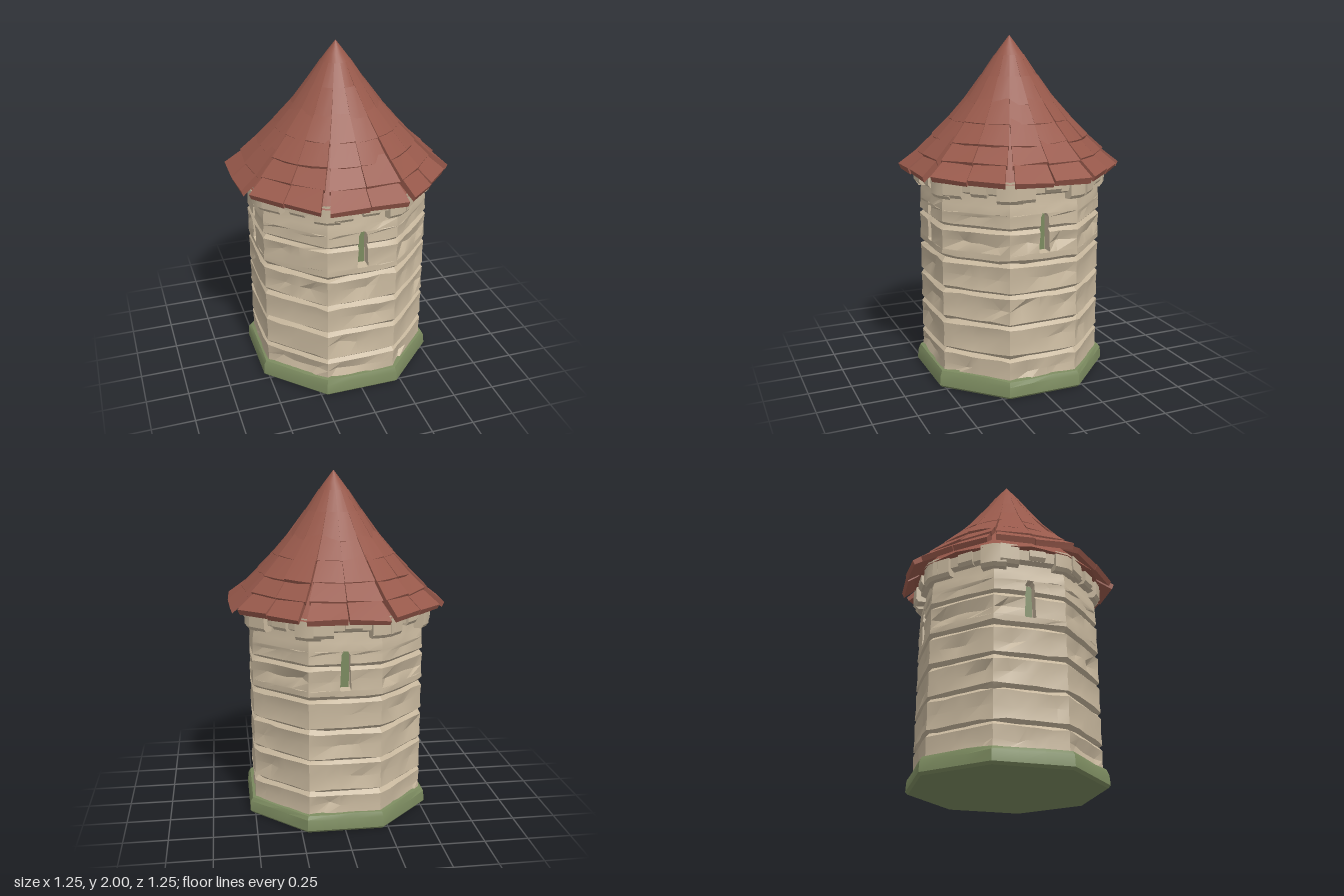
import * as THREE from 'three';
import { toCreasedNormals } from 'three/addons/utils/BufferGeometryUtils.js';

const stone = new THREE.MeshStandardMaterial({ color: 0xc8b89e });
stone.name = 'stone';
const moss = new THREE.MeshStandardMaterial({ color: 0x7b8a5f });
moss.name = 'moss';
const tile = new THREE.MeshStandardMaterial({ color: 0x98594b });
tile.name = 'roofTile';

let seed = 7;
const rand = () => (seed = (seed * 16807) % 2147483647) / 2147483647;
const jit = (a) => (rand() - 0.5) * 2 * a;
const DEG = Math.PI / 180;
const T8 = Math.tan(Math.PI / 8);

function mesh(name, geo, mat) {
  const m = new THREE.Mesh(geo, mat);
  m.name = name;
  return m;
}

// Collects quads (counter-clockwise from outside) and creases the normals
class Quads {
  constructor() { this.p = []; }
  tri(a, b, c) {
    const n = new THREE.Vector3().subVectors(b, a).cross(new THREE.Vector3().subVectors(c, a));
    if (n.length() > 1e-9) for (const v of [a, b, c]) this.p.push(v.x, v.y, v.z);
  }
  quad(a, b, c, d) { this.tri(a, b, c); this.tri(a, c, d); }
  // rows of points running anticlockwise, bottom to top
  grid(rows, closed) {
    for (let j = 0; j + 1 < rows.length; j++) {
      const n = rows[j].length;
      for (let i = 0; i < (closed ? n : n - 1); i++) {
        const k = (i + 1) % n;
        this.quad(rows[j][i], rows[j][k], rows[j + 1][k], rows[j + 1][i]);
      }
    }
  }
  build(crease = 0.5) {
    const g = new THREE.BufferGeometry();
    g.setAttribute('position', new THREE.Float32BufferAttribute(this.p, 3));
    return toCreasedNormals(g, crease);
  }
}

const polar = (th, r, y) => new THREE.Vector3(Math.sin(th) * r, y, Math.cos(th) * r);

// Point on octagon face k: apothem a, sideways offset u
function onFace(k, a, u, y) {
  const th = k * 45 * DEG, s = Math.sin(th), c = Math.cos(th);
  return new THREE.Vector3(s * a + c * u, y, c * a - s * u);
}

// Octagonal prism from [apothem, y] pairs, optionally uneven
function octagon(profile, wobble = 0) {
  const q = new Quads();
  q.grid(profile.map(([a, y], j) => {
    const row = [];
    for (let k = 0; k < 8; k++) for (const f of [-1, -0.35, 0.3]) {
      row.push(onFace(k, a, f * a * T8, y + (j > 1 ? jit(wobble) : 0)));
    }
    return row;
  }), true);
  return q.build();
}

// Stone wall: bulging courses with recessed arrow slits in four faces
function wall() {
  const rows = []; // [apothem, y, roughness, slit half-width]
  const courses = [0.06, 0.23, 0.42, 0.6, 0.78];
  for (let i = 0; i < 4; i++) {
    const y0 = courses[i], y1 = courses[i + 1];
    rows.push([0.483, y0, 0.004, 0], [0.504, y0 + 0.018, 0.005, 0],
      [0.5, (y0 + y1) / 2, 0.02, 0], [0.504, y1 - 0.02, 0.006, 0]);
  }
  rows.push([0.483, 0.78, 0.004, 0], [0.505, 0.8, 0.004, 0], [0.503, 0.832, 0, 0],
    [0.503, 0.836, 0, 0.032], [0.5, 0.885, 0.02, 0.03], [0.505, 0.95, 0.006, 0.027],
    [0.484, 0.97, 0, 0.026], [0.503, 0.988, 0.004, 0.026], [0.5, 1.035, 0.008, 0.025],
    [0.5, 1.054, 0, 0.014], [0.5, 1.058, 0, 0], [0.497, 1.1, 0.01, 0], [0.485, 1.15, 0, 0], [0.48, 1.25, 0, 0]);
  const q = new Quads();
  q.grid(rows.map(([a, y, rough, slit]) => {
    const row = [];
    for (let k = 0; k < 8; k++) {
      const h = a * T8, w = slit || 0.026, cut = slit && k % 2 === 0;
      const dy = rough ? 0.008 : 0;
      row.push(onFace(k, a * 0.985, -h * 0.985, y + jit(dy)));
      row.push(onFace(k, a - rand() * rough * 1.4, -h * (0.55 + jit(0.2)), y + jit(rough)));
      const mid = cut ? a : a - rand() * rough;
      const inner = cut ? 0.44 : mid;
      row.push(onFace(k, mid, -w, y), onFace(k, inner, -w, y), onFace(k, inner, w, y), onFace(k, mid, w, y));
      row.push(onFace(k, a - rand() * rough * 1.4, h * (0.55 + jit(0.2)), y + jit(rough)));
    }
    return row;
  }), true);
  return q.build(0.45);
}

// Curved slab between two angles, following rings of outer points
function slab(a0, a1, bottom, top, thick, steps, radius) {
  const q = new Quads(), rings = [[], [], [], []];
  const tilt = jit(0.006), lift = jit(0.008);
  for (let i = 0; i <= steps; i++) {
    const t = i / steps, th = a0 + (a1 - a0) * t;
    const s = radius(th), d = tilt * (t - 0.5) * 2;
    rings[0].push(polar(th, top[0] * s - thick, top[1] - thick));
    rings[1].push(polar(th, bottom[0] * s - thick * 0.45, bottom[1] - thick + d));
    rings[2].push(polar(th, bottom[0] * s, bottom[1] + d + lift * t));
    rings[3].push(polar(th, top[0] * s, top[1]));
  }
  q.grid(rings, false);
  const [A, B, C, D] = rings, e = steps;
  q.quad(A[0], B[0], C[0], D[0]);
  q.quad(D[e], C[e], B[e], A[e]);
  return q.build(0.5);
}

export function createModel() {
  const model = new THREE.Group();
  model.name = 'tower';

  // Mossy plinth with its underside
  const plinth = new THREE.Group();
  plinth.name = 'plinth';
  plinth.add(mesh('plinthRing', octagon([[0.515, 0], [0.529, 0.015], [0.525, 0.075], [0.512, 0.1], [0.47, 0.11]], 0.006), moss));
  const under = new THREE.CircleGeometry(0.515 / Math.cos(Math.PI / 8), 8, Math.PI / 8);
  under.rotateX(Math.PI / 2);
  plinth.add(mesh('plinthUnderside', under, moss));
  model.add(plinth);

  model.add(mesh('wall', wall(), stone));

  // Dark green backs of the arrow slits
  for (let k = 0; k < 4; k++) {
    const back = mesh('arrowSlit', new THREE.BoxGeometry(0.05, 0.212, 0.006), moss);
    const th = k * Math.PI / 2;
    back.position.set(Math.sin(th) * 0.442, 0.943, Math.cos(th) * 0.442);
    back.rotation.y = th;
    model.add(back);
  }

  // Cornice band with hanging blocks of uneven length
  const cornice = new THREE.Group();
  cornice.name = 'cornice';
  cornice.add(mesh('corniceBand', octagon([[0.485, 1.16], [0.515, 1.175], [0.52, 1.25]], 0.004), stone));
  const octScale = (th) => {
    const m = Math.abs(((th / DEG + 22.5 + 720) % 45) - 22.5);
    return 1 / Math.cos(m * DEG);
  };
  for (let k = 0; k < 8; k++) {
    for (const [c, half, drop] of [[-13, 5.5, 1.135], [4, 5, 1.165], [22.5, 7.5, 1.125]]) {
      const q = new Quads(), low = drop + jit(0.012), out = 0.538 + jit(0.006);
      const a0 = (k * 45 + c - half) * DEG, a1 = (k * 45 + c + half) * DEG;
      const angles = [a0, (a0 + a1) / 2, a1];
      const ring = (r, y) => angles.map((th) => polar(th, r * Math.min(octScale(th), 1.06), y));
      const rings = [ring(0.47, low), ring(out - 0.015, low), ring(out, low + 0.02), ring(out, 1.25)];
      q.grid(rings, false);
      for (const i of [0, 2]) {
        const [A, B, C, D] = rings.map((r) => r[i]);
        const E = ring(0.47, 1.25)[i];
        if (i) { q.quad(D, C, B, A); q.tri(D, A, E); }
        else { q.quad(A, B, C, D); q.tri(A, D, E); }
      }
      cornice.add(mesh('corniceBlock', q.build(0.5), stone));
    }
  }
  model.add(cornice);

  // Roof: core cone under overlapping rows of tiles
  const roof = new THREE.Group();
  roof.name = 'roof';
  const core = [[0, 1.235], [0.57, 1.235], [0.49, 1.33], [0.4, 1.435], [0.315, 1.54], [0.235, 1.645], [0.155, 1.765], [0.07, 1.88], [0, 1.97]];
  roof.add(mesh('roofCore', toCreasedNormals(
    new THREE.LatheGeometry(core.map(([r, y]) => new THREE.Vector2(r, y)), 16).toNonIndexed(), 0.5), tile));
  const tileRows = [ // bottom [r, y], top [r, y], thickness, octagon amount, gap
    [[0.62, 1.258], [0.49, 1.362], 0.03, 0.8, 1],
    [[0.537, 1.34], [0.41, 1.46], 0.026, 0.5, 0.6],
    [[0.45, 1.428], [0.325, 1.56], 0.022, 0.25, 0.35],
    [[0.357, 1.53], [0.245, 1.66], 0.018, 0.1, 0.15],
    [[0.275, 1.622], [0.165, 1.775], 0.016, 0, 0.1],
    [[0.187, 1.737], [0.085, 1.89], 0.014, 0, 0]];
  tileRows.forEach(([bottom, top, thick, oct, gap], j) => {
    for (let i = 0; i < 16; i++) {
      // wider gaps at the octagon corners than at the face centres
      const even = i % 2 === 0;
      const a0 = (i * 22.5 + (even ? 0.3 : 2.3) * gap) * DEG;
      const a1 = ((i + 1) * 22.5 - (even ? 2.3 : 0.3) * gap) * DEG;
      const diagonal = Math.round((i + 0.5) / 2 - 0.25 + (even ? -0.01 : 0.01)) % 2 === 1;
      const size = (j < 3 ? 1 + jit(0.008) : 1) * (diagonal && j < 2 ? 0.975 : 1);
      const radius = (th) => size * (1 + (octScale(th) - 1) * oct);
      roof.add(mesh('roofTile', slab(a0, a1, bottom, top, thick, j < 2 ? 1 : 2, radius), tile));
    }
  });
  const cap = new THREE.LatheGeometry([[0, 1.85], [0.094, 1.85], [0.103, 1.862], [0.052, 1.932], [0, 2]]
    .map(([r, y]) => new THREE.Vector2(r, y)), 24);
  roof.add(mesh('roofCap', toCreasedNormals(cap.toNonIndexed(), 0.6), tile));
  model.add(roof);

  return model;
}
